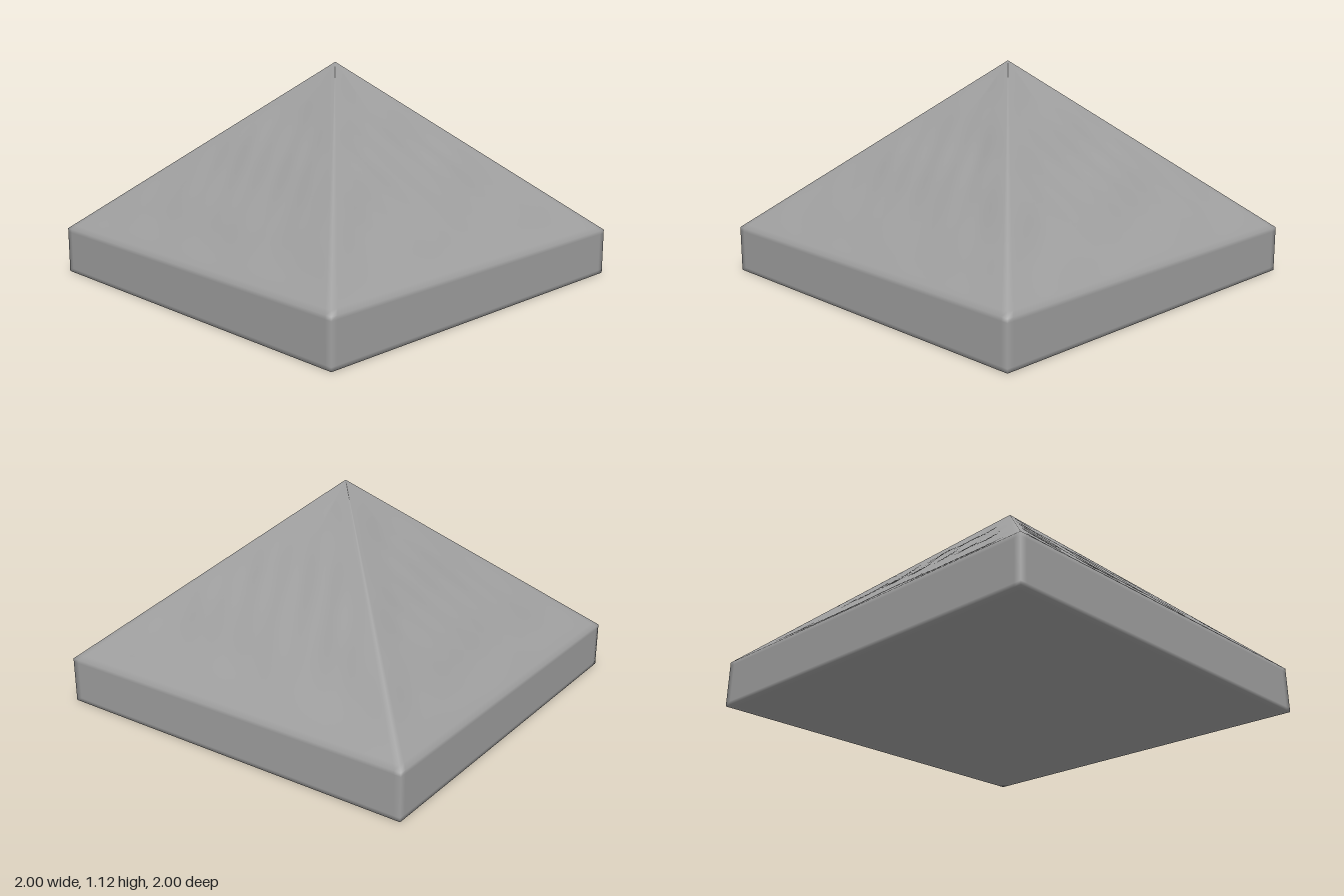
import * as THREE from 'three';
import { mergeGeometries, mergeVertices } from 'three/addons/utils/BufferGeometryUtils.js';

const EAVE = 0.235, APEX = 1.118, RISE = APEX - EAVE;
const SEGMENTS = 56;

// Shallow weathering: worn horizontal courses and slanted ripples, fading out at the borders
function dent(u, v, side) {
  const x = u * (1 - v);
  const edge = THREE.MathUtils.smoothstep((1 - Math.abs(u)) * (1 - v), 0, 0.25);
  const fade = edge * THREE.MathUtils.smoothstep(v, 0, 0.2);
  const courses = Math.sin(v * 20 + side * 1.7 + 0.8 * Math.sin(x * 7 + side));
  const patches = Math.sin(x * 11 + side * 2.3) * Math.sin(v * 16 + x * 3 + side);
  const ripples = Math.sin(x * 38 + v * 18 + side) * Math.exp(-20 * (v - 0.5) ** 2);
  return fade * (0.006 + 0.0025 * courses + 0.0025 * patches + 0.0015 * ripples);
}

// One triangular slope, made by tapering a plane grid towards the apex
function slope(side) {
  const g = new THREE.PlaneGeometry(2, 1, SEGMENTS, 48);
  const p = g.attributes.position;
  const len = Math.hypot(1, RISE);
  for (let i = 0; i < p.count; i++) {
    const u = p.getX(i), v = p.getY(i) + 0.5;
    const d = dent(u, v, side) / len;
    p.setXYZ(i, u * (1 - v), EAVE + RISE * v - d, 1 - v - d * RISE);
  }
  return g.rotateY(side * Math.PI / 2);
}

// Square plinth, open on top where the slopes cover it
function plinth() {
  const g = new THREE.BoxGeometry(2, EAVE, 2, SEGMENTS, 12, SEGMENTS).translate(0, EAVE / 2, 0);
  const top = g.groups[2];
  const index = Array.from(g.index.array);
  index.splice(top.start, top.count);
  g.setIndex(index);
  g.clearGroups();
  return g;
}

export function createModel() {
  const group = new THREE.Group();

  // Plinth and four slopes are welded so that hips, eaves and corners shade softly
  const shell = mergeGeometries([plinth(), ...[0, 1, 2, 3].map(slope)]);
  shell.deleteAttribute('uv');
  shell.deleteAttribute('normal');
  const geometry = mergeVertices(shell, 1e-4);
  geometry.computeVertexNormals();

  const pyramid = new THREE.Mesh(geometry, new THREE.MeshStandardMaterial({ color: 0x9e9e9e }));
  pyramid.name = 'pyramidOnPlinth';
  group.add(pyramid);
  return group;
}
